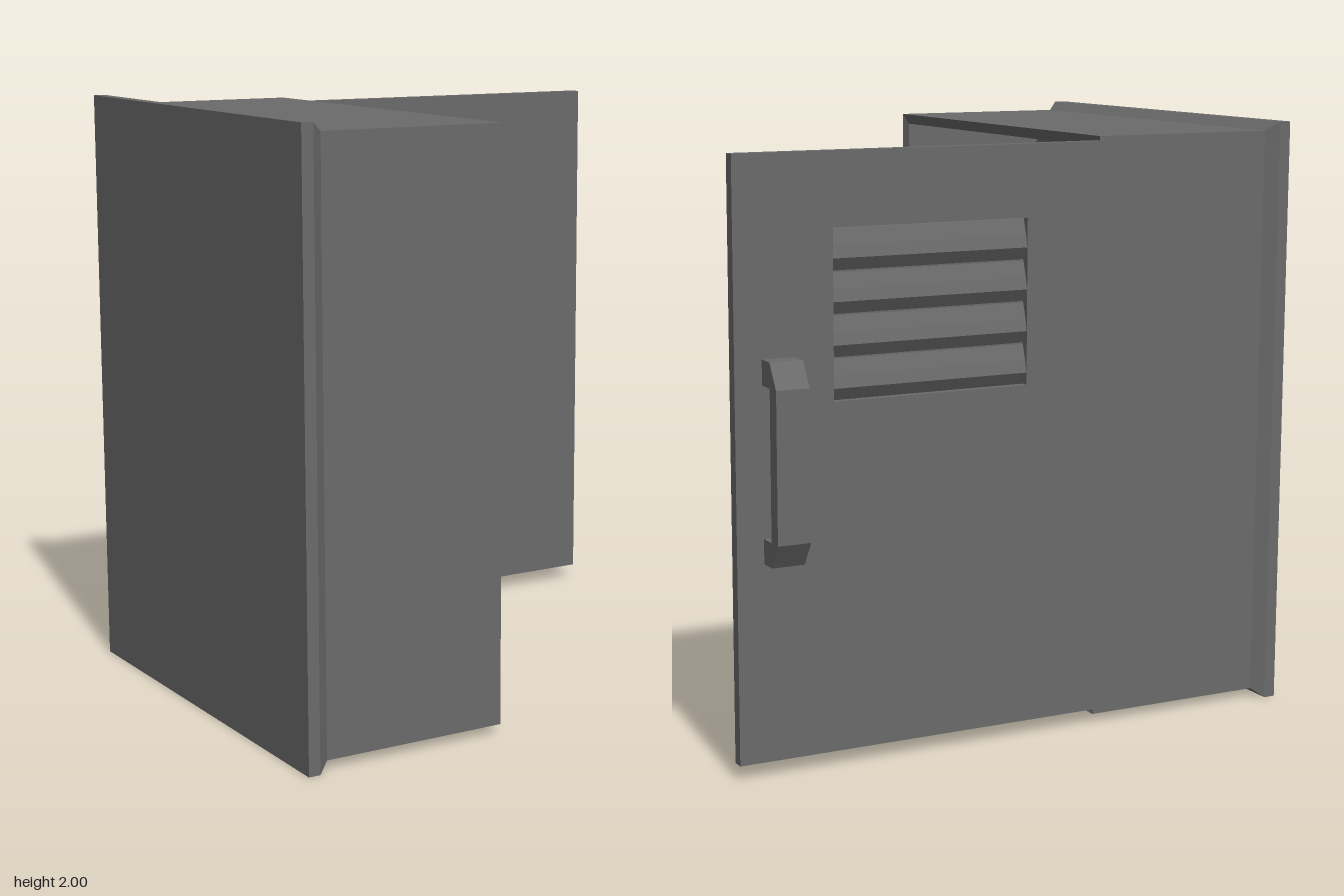
import * as THREE from 'three';

const steel = new THREE.MeshStandardMaterial({ color: 0x6b6b6b });
const pale = new THREE.MeshStandardMaterial({ color: 0xcccccc });
const red = new THREE.MeshStandardMaterial({ color: 0xd81808 });
const green = new THREE.MeshStandardMaterial({ color: 0x08c008 });

// Rectangular sections [x, inset] joined along x, capped at both ends, flat faces.
function loft(sections, z0, z1, y0, y1) {
  const rings = sections.map(([x, d]) => [
    [x, y0 + d, z1 - d], [x, y0 + d, z0 + d], [x, y1 - d, z0 + d], [x, y1 - d, z1 - d],
  ]);
  const pos = [];
  const quad = (a, b, c, d) => pos.push(...a, ...b, ...c, ...a, ...c, ...d);
  for (let i = 0; i < rings.length - 1; i++) {
    for (let k = 0; k < 4; k++) {
      const n = (k + 1) % 4;
      quad(rings[i][k], rings[i][n], rings[i + 1][n], rings[i + 1][k]);
    }
  }
  quad(...[...rings[0]].reverse());
  quad(...rings[rings.length - 1]);
  const g = new THREE.BufferGeometry();
  g.setAttribute('position', new THREE.Float32BufferAttribute(pos, 3));
  g.computeVertexNormals();
  return g;
}

const toShape = (pts) => new THREE.Shape(pts.map(([a, b]) => new THREE.Vector2(a, b)));

// Outline given as (z, y), extruded from x0 to x1.
function extrudeAlongX(pts, x0, x1) {
  const g = new THREE.ExtrudeGeometry(toShape(pts), { depth: x1 - x0, bevelEnabled: false });
  return g.rotateY(-Math.PI / 2).translate(x1, 0, 0);
}

// Profile [radius, distance] turned about the x axis.
function latheX(profile, x, y, z) {
  const g = new THREE.LatheGeometry(profile.map(([r, h]) => new THREE.Vector2(r, h)), 28);
  return g.rotateZ(-Math.PI / 2).translate(x, y, z);
}

export function createModel() {
  const model = new THREE.Group();
  const add = (name, geometry, material, parent = model) => {
    const mesh = new THREE.Mesh(geometry, material);
    mesh.name = name;
    parent.add(mesh);
    return mesh;
  };
  const group = (name) => {
    const g = new THREE.Group();
    g.name = name;
    model.add(g);
    return g;
  };

  // Hollow cabinet with a flanged back, open towards +x
  const floor = -0.95;
  add('cabinet', loft([
    [-1, 0], [-0.96, 0], [-0.92, 0.03], [-0.28, 0.03], [-0.29, 0.065], [floor, 0.065],
  ], -0.71, 0.8, 0, 2), steel);

  // Raised panels inside: z0, z1, y0, y1, face x
  const panels = group('innerPanels');
  [
    [-0.645, -0.3, 0.07, 1.46, -0.795],
    [-0.645, -0.3, 1.46, 1.93, -0.92],
    [0.05, 0.735, 1.0, 1.46, -0.92],
    [0.05, 0.39, 1.46, 1.93, -0.87],
    [0.39, 0.735, 1.46, 1.93, -0.83],
  ].forEach(([z0, z1, y0, y1, x]) => {
    const c = Math.min(0.03, (x - floor) / 2);
    add('panel', loft([[floor - 0.02, 0], [x - c, 0], [x, c * 0.7]], z0, z1, y0, y1), steel, panels);
  });

  // Open door with a window for the louvres
  const [lx0, lx1, ly0, ly1] = [-0.01, 0.67, 1.18, 1.72];
  const door = group('door');
  const outline = toShape([[-0.3, 0.05], [1, 0.05], [1, 1.955], [-0.3, 1.955]]);
  outline.holes.push(toShape([[lx0, ly0], [lx0, ly1], [lx1, ly1], [lx1, ly0]]));
  add('doorPanel', new THREE.ExtrudeGeometry(outline, { depth: 0.04, bevelEnabled: false })
    .translate(0, 0, -0.69), steel, door);

  // Sloping louvre slats pressed into the door
  const slats = 4;
  const step = (ly1 - ly0) / slats;
  const teeth = [[-0.65, ly0]];
  for (let i = 0; i < slats; i++) {
    const y = ly0 + i * step;
    teeth.push([-0.664, y], [-0.689, y + 0.04], [-0.68, y + 0.08], [-0.664, y + step - 0.005]);
  }
  teeth.push([-0.65, ly1]);
  add('louvres', extrudeAlongX(teeth.reverse(), lx0, lx1), steel, door);

  // Pull handle on the outside of the door
  add('doorHandle', extrudeAlongX([
    [-0.685, 0.69], [-0.685, 0.77], [-0.75, 0.77], [-0.75, 1.25], [-0.685, 1.25],
    [-0.685, 1.33], [-0.75, 1.33], [-0.8, 1.25], [-0.8, 0.77], [-0.75, 0.69],
  ], 0.8, 0.91), steel, door);

  // Two vertical bars, each on a pair of round insulators
  const rodX = -0.63;
  for (const z of [0.53, 0.26]) {
    const bar = group('contactBar');
    add('rod', new THREE.CylinderGeometry(0.037, 0.037, 0.9, 20).translate(rodX, 0.8, z), pale, bar);
    for (const y of [0.375, 1.235]) {
      add('insulator', latheX([
        [0, -0.02], [0.118, -0.02], [0.118, 0.06], [0.1, 0.09], [0.06, 0.11], [0, 0.115],
      ], floor, y, z), pale, bar);
      const leg = new THREE.CylinderGeometry(0.035, 0.035, 0.27, 20).rotateZ(Math.PI / 2);
      add('rodLeg', leg.translate(rodX - 0.12, y, z), pale, bar);
    }
  }

  // Red switch lever: a chamfered grip on an arm from the floor
  const lever = group('lever');
  const c = 0.025;
  add('leverGrip', loft([
    [-0.58, 0.015], [-0.565, 0], [-0.525, 0], [-0.505, 0.015],
  ], -0.17, -0.055, 0.59, 1.34), red, lever);
  add('leverArm', extrudeAlongX([
    [-0.165 + c, 0.59], [-0.06 - c, 0.59], [-0.06, 0.59 + c], [-0.06, 0.7 - c],
    [-0.06 - c, 0.7], [-0.165 + c, 0.7], [-0.165, 0.7 - c], [-0.165, 0.59 + c],
  ], floor - 0.02, -0.55), red, lever);

  // Green indicator lamp in its ring
  const lamp = group('indicatorLamp');
  add('lampRing', latheX([
    [0, -0.02], [0.118, -0.02], [0.118, 0.04], [0.108, 0.05], [0.09, 0.05], [0, 0.045],
  ], floor, 1.69, -0.123), pale, lamp);
  add('lampDome', new THREE.SphereGeometry(0.098, 28, 18).translate(floor + 0.05, 1.69, -0.123), green, lamp);

  return model;
}
